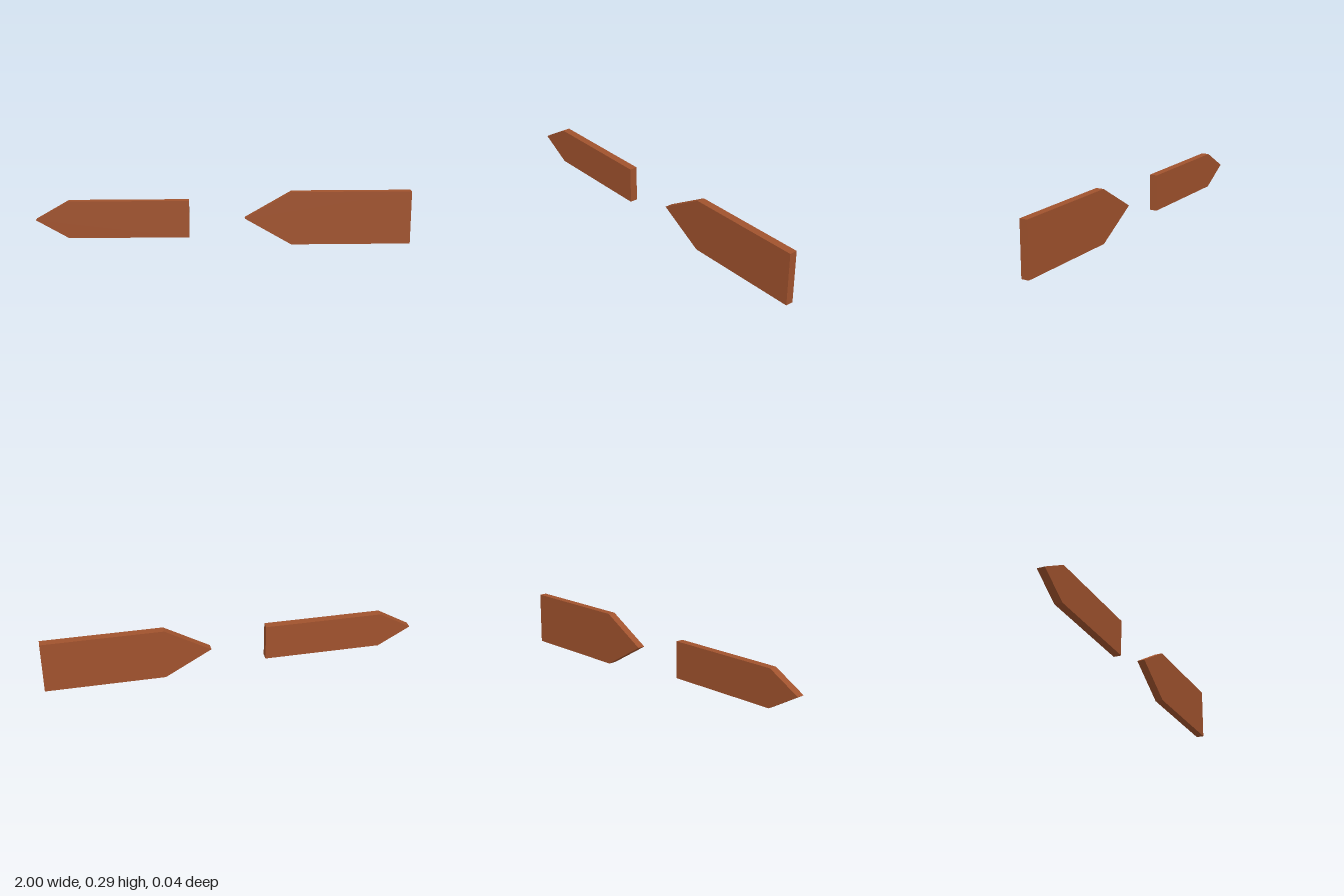
import * as THREE from 'three';

const DEPTH = 0.042;
const CENTER_Y = 0.144;

// Flat board with a pointed end facing -x
function pointedBoard(name, tipX, shoulderX, endX, halfHeight, material) {
  const shape = new THREE.Shape([
    new THREE.Vector2(tipX, 0),
    new THREE.Vector2(shoulderX, -halfHeight),
    new THREE.Vector2(endX, -halfHeight),
    new THREE.Vector2(endX, halfHeight),
    new THREE.Vector2(shoulderX, halfHeight),
  ]);
  const geometry = new THREE.ExtrudeGeometry(shape, { depth: DEPTH, bevelEnabled: false });
  geometry.translate(0, CENTER_Y, -DEPTH / 2);
  const mesh = new THREE.Mesh(geometry, material);
  mesh.name = name;
  return mesh;
}

export function createModel() {
  const group = new THREE.Group();
  group.name = 'arrowSignBoards';
  const wood = new THREE.MeshStandardMaterial({ color: 0xa0522d, flatShading: true });

  group.add(
    pointedBoard('smallBoard', -1, -0.826, -0.187, 0.1, wood),
    pointedBoard('largeBoard', 0.11, 0.359, 1, 0.144, wood),
  );
  return group;
}
